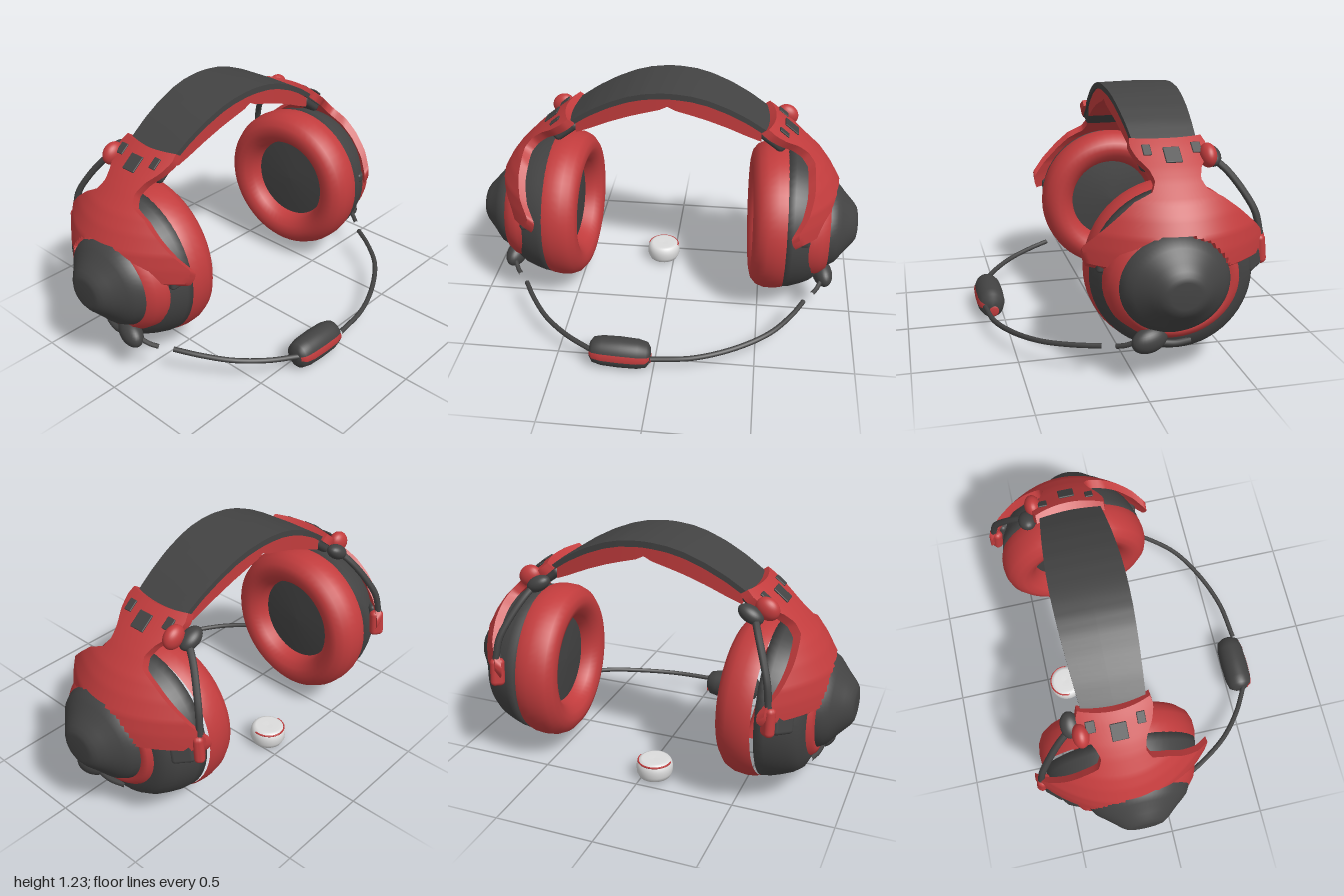
import * as THREE from 'three';
import { toCreasedNormals } from 'three/addons/utils/BufferGeometryUtils.js';
import { RoundedBoxGeometry } from 'three/addons/geometries/RoundedBoxGeometry.js';

const mat = (name, color) => {
  const m = new THREE.MeshStandardMaterial({ color });
  m.name = name;
  return m;
};
const V = (x, y, z) => new THREE.Vector3(x, y, z);

// linear lookup in a small table of [key, ...values] rows with rising keys
function lookup(table, k, col = 1) {
  let i = 1;
  while (i < table.length - 1 && table[i][0] < k) i++;
  const a = table[i - 1], b = table[i];
  const t = THREE.MathUtils.clamp((k - a[0]) / (b[0] - a[0]), 0, 1);
  return a[col] + (b[col] - a[col]) * t;
}

// closed solid through a row of equal-sized rings, faces turned outwards
function loft(rings, crease = 0.7) {
  const n = rings[0].length, pos = [], idx = [];
  rings.forEach(r => r.forEach(p => pos.push(p.x, p.y, p.z)));
  for (let i = 0; i < rings.length - 1; i++) for (let j = 0; j < n; j++) {
    const a = i * n + j, b = i * n + (j + 1) % n;
    idx.push(a, b, a + n, b, b + n, a + n);
  }
  // each ring runs out along one face and back along the other, so caps are strips
  const last = (rings.length - 1) * n;
  for (let j = 0; j < n / 2 - 1; j++) {
    const k = n - 1 - j;
    idx.push(j, k, j + 1, j + 1, k, k - 1);
    idx.push(last + j, last + j + 1, last + k, last + j + 1, last + k - 1, last + k);
  }
  const p = i => V(pos[i * 3], pos[i * 3 + 1], pos[i * 3 + 2]);
  let vol = 0;
  for (let i = 0; i < idx.length; i += 3) vol += p(idx[i]).dot(p(idx[i + 1]).cross(p(idx[i + 2])));
  if (vol < 0) idx.reverse();
  const g = new THREE.BufferGeometry();
  g.setAttribute('position', new THREE.Float32BufferAttribute(pos, 3));
  g.setIndex(idx);
  return toCreasedNormals(g, crease);
}

// profile of [x, radius] turned about the x axis
function turned(profile) {
  const g = new THREE.LatheGeometry(profile.map(([x, r]) => new THREE.Vector2(r, x)), 56);
  return g.rotateZ(-Math.PI / 2);
}

const tube = (pts, r) => new THREE.TubeGeometry(new THREE.CatmullRomCurve3(pts.map(p => V(...p))), 40, r, 8);

// yoke: rising y, distance out in x, rear z, front z
const YOKE = [
  [0.56, 0.918, -0.62, 0.212], [0.59, 0.916, -0.64, 0.225], [0.63, 0.912, -0.635, 0.23],
  [0.7, 0.895, -0.57, 0.165], [0.78, 0.85, -0.48, 0.08], [0.84, 0.805, -0.4, 0.01],
  [0.88, 0.765, -0.325, -0.075], [0.92, 0.725, -0.305, -0.095], [0.96, 0.68, -0.325, -0.08],
  [1.0, 0.63, -0.375, -0.04], [1.04, 0.58, -0.385, -0.022], [1.07, 0.54, -0.37, -0.03],
];
const yokeX = (y, z) => {
  const underDome = Math.hypot((y - 0.485) / 0.225, (z + 0.15) / 0.25) < 1;
  return lookup(YOKE, y) - 1.25 * (z + 0.2) ** 2 - (underDome ? 0.07 : 0);
};

function yokeGeometry() {
  const rings = [], N = 48;
  for (let i = 0; i <= 40; i++) {
    const y = 0.56 + 0.51 * i / 40, z0 = lookup(YOKE, y, 2), z1 = lookup(YOKE, y, 3);
    const outer = [], inner = [];
    for (let j = 0; j <= N; j++) {
      const z = z0 + (z1 - z0) * j / N, x = yokeX(y, z);
      outer.push(V(x, y, z));
      inner.unshift(V(x - 0.035, y - 0.025, z));
    }
    rings.push([...outer, ...inner]);
  }
  return loft(rings);
}

// headband: |x|, top height, padding bottom, half width
const BAND = [
  [0, 1.24, 1.165, 0.18], [0.04, 1.239, 1.145, 0.18], [0.12, 1.23, 1.123, 0.178], [0.2, 1.21, 1.098, 0.174],
  [0.3, 1.17, 1.06, 0.168], [0.4, 1.117, 1.015, 0.16], [0.5, 1.05, 0.975, 0.152], [0.58, 0.99, 0.93, 0.15],
];
function bandGeometry(reach, top, bottom, inset) {
  const rings = [];
  for (let i = 0; i <= 48; i++) {
    const x = reach * (i / 24 - 1), a = Math.abs(x);
    const w = lookup(BAND, a, 3) - inset, t = top(a), b = bottom(a);
    rings.push([V(x, t, -0.2 - w), V(x, t + 0.004, -0.2), V(x, t, -0.2 + w),
      V(x, b, -0.2 + w), V(x, b, -0.2), V(x, b, -0.2 - w)]);
  }
  return loft(rings);
}

export function createModel() {
  const red = mat('red', 0xc23c3d), dark = mat('charcoal', 0x434343), white = mat('white', 0xdcdcdc);
  const model = new THREE.Group();
  model.name = 'headset';
  const add = (parent, name, geo, material, p = [0, 0, 0], s = [1, 1, 1], r = [0, 0, 0]) => {
    const m = new THREE.Mesh(geo, material);
    m.name = name;
    m.position.set(...p);
    m.scale.set(...s);
    m.rotation.set(...r);
    parent.add(m);
    return m;
  };
  const ball = new THREE.SphereGeometry(1, 28, 18);

  // one ear side, built on +x and mirrored
  const earSide = () => {
    const g = new THREE.Group();
    const c = [0, 0.48, -0.2];
    // cushion and inner plate are toed in towards the rear
    const toed = [0, 0.48, -0.167], toe = [0, 0.065, 0], one = [1, 1, 1];
    add(g, 'earCushion', turned([[0.6, 0.225], [0.53, 0.225], [0.48, 0.24], [0.448, 0.275], [0.436, 0.312], [0.445, 0.348],
      [0.472, 0.38], [0.51, 0.396], [0.56, 0.4], [0.6, 0.395], [0.625, 0.385]]), red, toed, one, toe);
    add(g, 'innerPlate', turned([[0.52, 0], [0.524, 0.12], [0.535, 0.235]]), dark, toed, one, toe);
    add(g, 'earCup', turned([[0.6, 0.3], [0.615, 0.388], [0.66, 0.382], [0.71, 0.366],
      [0.76, 0.345], [0.8, 0.315], [0.83, 0.25], [0.84, 0]]), dark, c);
    add(g, 'cupRing', turned([[0.72, 0.33], [0.77, 0.328], [0.81, 0.31], [0.845, 0.28], [0.855, 0.25], [0.84, 0.2]]),
      red, [0, 0.48, -0.17], [1, 0.88, 0.98]);
    add(g, 'cupDome', turned([[0.79, 0.272], [0.85, 0.26], [0.885, 0.238], [0.908, 0.21], [0.93, 0.18], [0.955, 0.15],
      [0.98, 0.12], [0.995, 0.095], [1.0, 0.07], [1.0, 0]]), dark, [0, 0.485, -0.155], [1, 0.88, 0.98]);
    add(g, 'yoke', yokeGeometry(), red);

    // marks on the yoke head: z, y, width, height
    [[-0.09, 1.027, 0.04, 0.06], [-0.2, 1.008, 0.078, 0.088], [-0.325, 1.027, 0.045, 0.06]].forEach(([z, y, w, h]) =>
      add(g, 'yokeMark', new RoundedBoxGeometry(h, 0.009, w, 2, 0.004), dark,
        [yokeX(y, z) + 0.003, y + 0.003, z], one, [0, 0, -0.68]));

    // joint under the yoke head, with rear cable
    add(g, 'bandJoint', new RoundedBoxGeometry(0.15, 0.06, 0.28, 3, 0.025), dark, [0.53, 0.985, -0.2], one, [0, 0, -0.65]);
    add(g, 'rearLobe', ball, red, [0.6, 0.995, -0.375], [0.06, 0.052, 0.04], [0, 0, -0.65]);
    add(g, 'cablePlug', ball, dark, [0.535, 0.975, -0.415], [0.065, 0.038, 0.045], [0, 0, -0.5]);
    add(g, 'rearCable', tube([[0.55, 0.975, -0.41], [0.59, 0.91, -0.48], [0.64, 0.81, -0.55], [0.67, 0.73, -0.59], [0.685, 0.63, -0.61]], 0.017), dark);

    // arm ends
    add(g, 'rearClip', new RoundedBoxGeometry(0.05, 0.15, 0.11, 3, 0.02), dark, [0.735, 0.558, -0.545], one, [0.2, 0.7, 0]);
    add(g, 'rearArmTip', new RoundedBoxGeometry(0.07, 0.14, 0.05, 3, 0.022), red, [0.685, 0.56, -0.605], one, [0.1, 0.7, 0]);
    add(g, 'frontClip', new RoundedBoxGeometry(0.07, 0.05, 0.06, 3, 0.015), dark, [0.71, 0.545, 0.145]);

    // boom pivot
    add(g, 'boomPivot', ball, dark, [0.837, 0.225, -0.045], [0.052, 0.06, 0.09], [0.2, 0.25, 0]);
    add(g, 'pivotTail', tube([[0.84, 0.21, -0.08], [0.835, 0.195, -0.16], [0.81, 0.19, -0.24]], 0.016), dark);
    add(g, 'pivotTip', tube([[0.83, 0.215, 0.02], [0.81, 0.195, 0.06], [0.785, 0.183, 0.095]], 0.012), dark);
    return g;
  };
  const left = earSide(), right = earSide();
  left.name = 'leftEar';
  right.name = 'rightEar';
  right.scale.x = -1;
  model.add(left, right);

  // headband and its padding
  add(model, 'headband', bandGeometry(0.58, a => lookup(BAND, a), a => lookup(BAND, a) - 0.03, 0), dark);
  add(model, 'headbandPadding', bandGeometry(0.47, a => lookup(BAND, a) - 0.02, a => lookup(BAND, a, 2), 0.012), red);

  // boom arms
  add(model, 'leftBoom', tube([[-0.01, 0.09, 0.6], [0.2, 0.098, 0.575], [0.4, 0.115, 0.5], [0.57, 0.138, 0.39],
    [0.68, 0.157, 0.255], [0.74, 0.17, 0.15]], 0.013), dark);
  add(model, 'rightBoom', tube([[-0.31, 0.105, 0.58], [-0.45, 0.12, 0.5], [-0.58, 0.138, 0.39],
    [-0.68, 0.157, 0.255], [-0.74, 0.17, 0.15]], 0.013), dark);

  // microphone capsule with a red strip on its front and a red patch on one end
  const mic = new THREE.Group();
  mic.name = 'microphone';
  mic.position.set(-0.168, 0.09, 0.562);
  mic.rotation.z = -0.04;
  const capsule = [[-0.155, 0], [-0.152, 0.04], [-0.135, 0.066], [-0.09, 0.077], [0, 0.08], [0.09, 0.077],
    [0.135, 0.066], [0.152, 0.04], [0.155, 0]];
  add(mic, 'micCapsule', turned(capsule), dark, [0, 0, 0], [1, 1, 0.92]);
  const strip = new THREE.LatheGeometry(capsule.slice(1, -1).map(([x, r]) => new THREE.Vector2(r + 0.002, x)), 8, -0.1, 0.48)
    .rotateZ(-Math.PI / 2);
  add(mic, 'micStrip', strip, red, [0, 0, 0], [1, -1, 0.92]);
  add(mic, 'micEndPatch', ball, red, [0.153, -0.026, -0.008], [0.005, 0.028, 0.026]);
  model.add(mic);

  // loose white cap
  const cap = new THREE.LatheGeometry([[0, 0.015], [0.06, 0.016], [0.08, 0.026], [0.091, 0.05], [0.092, 0.08],
    [0.088, 0.1], [0.078, 0.114], [0.064, 0.119], [0, 0.116]].map(p => new THREE.Vector2(...p)), 36);
  add(model, 'looseCap', cap, white, [-0.06, 0, -0.4]);
  add(model, 'capLine', new THREE.TorusGeometry(0.083, 0.0045, 6, 40, 3.4).rotateX(-Math.PI / 2), red,
    [-0.06, 0.108, -0.4], [1, 1, 1], [0, -0.2, 0]);
  return model;
}
